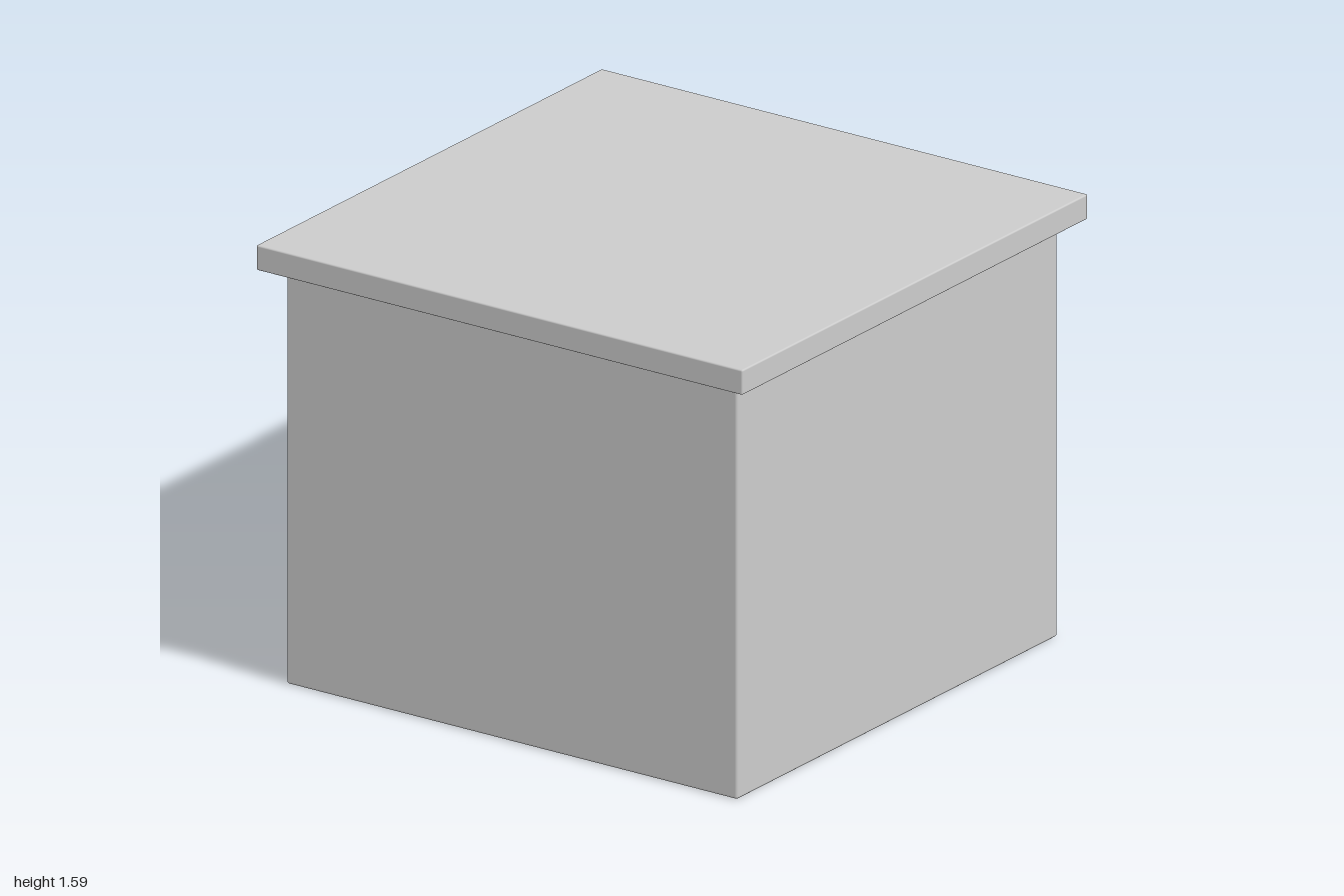
import * as THREE from 'three';
import { RoundedBoxGeometry } from 'three/addons/geometries/RoundedBoxGeometry.js';

const BODY_HEIGHT = 1.495;
const LID_HEIGHT = 0.09;

export function createModel() {
  const group = new THREE.Group();
  const material = new THREE.MeshStandardMaterial({ color: 0xcccccc });

  // Square block with softened edges, standing on height y
  const addBlock = (name, width, height, y, radius) => {
    const mesh = new THREE.Mesh(new RoundedBoxGeometry(width, height, width, 2, radius), material);
    mesh.name = name;
    mesh.position.y = y + height / 2;
    group.add(mesh);
  };

  // Main box
  addBlock('body', 1.855, BODY_HEIGHT, 0, 0.01);
  // Overhanging flat lid
  addBlock('lid', 2, LID_HEIGHT, BODY_HEIGHT, 0.006);

  return group;
}
